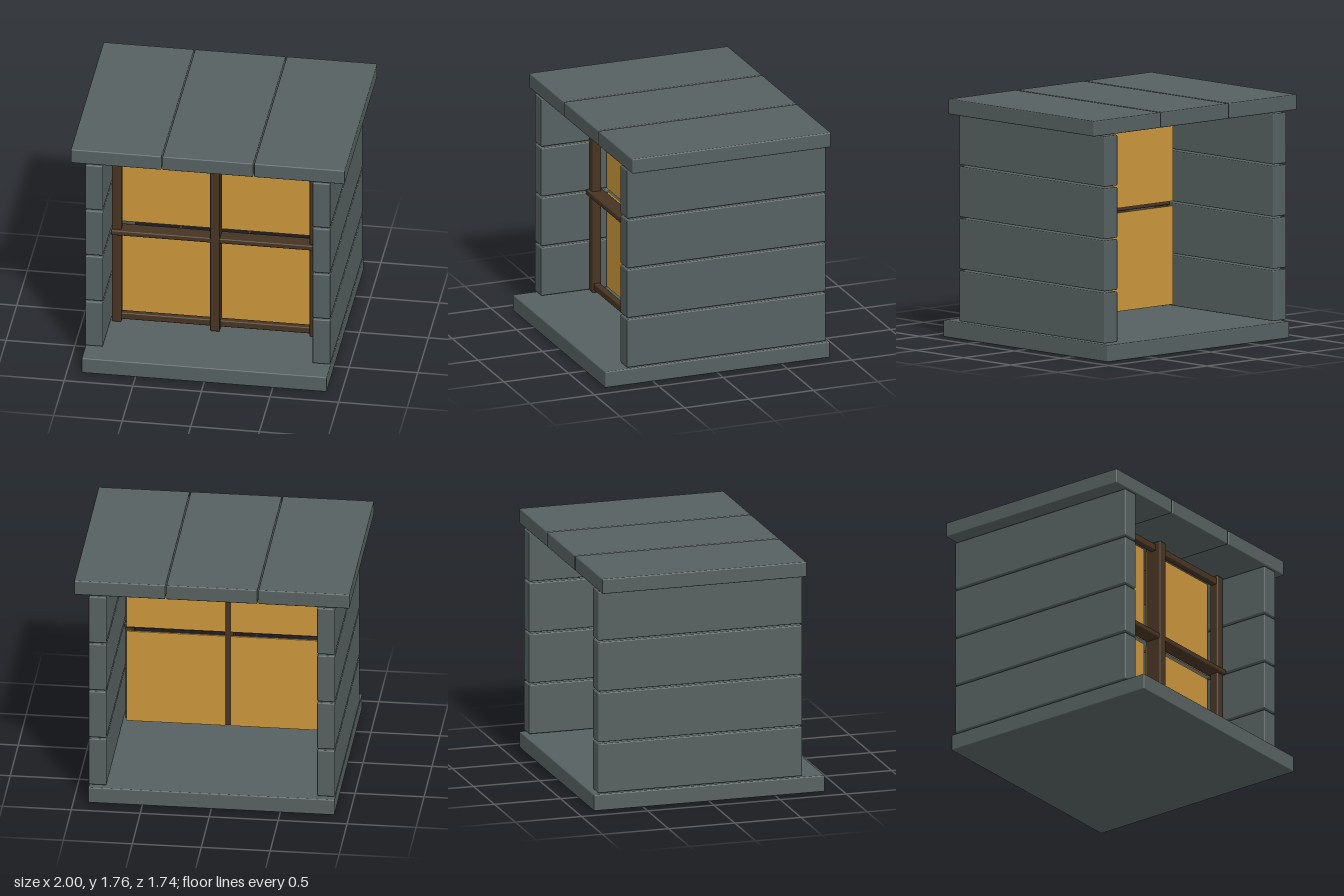
import * as THREE from 'three';
import { RoundedBoxGeometry } from 'three/addons/geometries/RoundedBoxGeometry.js';

const mat = (name, color) => {
  const m = new THREE.MeshStandardMaterial({ color });
  m.name = name;
  return m;
};

export function createModel() {
  const model = new THREE.Group();
  model.name = 'windowBox';
  const stone = mat('slate grey', 0x566060);
  const wood = mat('dark brown wood', 0x463423);
  const glass = mat('amber glass', 0xc9953b);

  // Softly bevelled block given by its extents on each axis
  const block = (name, material, [x0, x1], [y0, y1], [z0, z1], radius = 0.008) => {
    const geometry = new RoundedBoxGeometry(x1 - x0, y1 - y0, z1 - z0, 2, radius);
    const mesh = new THREE.Mesh(geometry, material);
    mesh.name = name;
    mesh.position.set((x0 + x1) / 2, (y0 + y1) / 2, (z0 + z1) / 2);
    model.add(mesh);
  };
  const mirrored = (side, a, b) => (side > 0 ? [a, b] : [-b, -a]);

  // Floor slab
  block('floorSlab', stone, [-0.893, 0.893], [0, 0.122], [-0.872, 0.872]);

  // Three roof planks
  for (const i of [-1, 0, 1]) {
    const x = i * 0.668;
    block('roofPlank', stone, [x - 0.33, x + 0.33], [1.648, 1.76], [-0.84, 0.703]);
  }

  for (const side of [-1, 1]) {
    // Four stacked wall planks
    for (let i = 0; i < 4; i++) {
      const y = 0.131 + i * 0.38;
      block('wallPlank', stone, mirrored(side, 0.764, 0.893), [y, y + 0.368], [-0.84, 0.703]);
    }

    // Outer window post
    block('outerPost', wood, mirrored(side, 0.686, 0.755), [0.13, 1.64], [0.268, 0.336]);

    // Two panes, one above the other
    for (const y of [0.148, 0.9]) {
      block('windowPane', glass, mirrored(side, 0.018, 0.737), [y, y + 0.719], [0.19, 0.208], 0.002);
    }
  }

  // Top and bottom rails
  for (const y of [0.15, 1.57]) {
    block('frameRail', wood, [-0.7, 0.7], [y, y + 0.052], [0.278, 0.326]);
  }

  // Central cross
  block('centrePost', wood, [-0.035, 0.035], [0.13, 1.64], [0.24, 0.365]);
  block('crossBar', wood, [-0.758, 0.758], [0.866, 0.905], [0.244, 0.361]);

  return model;
}
